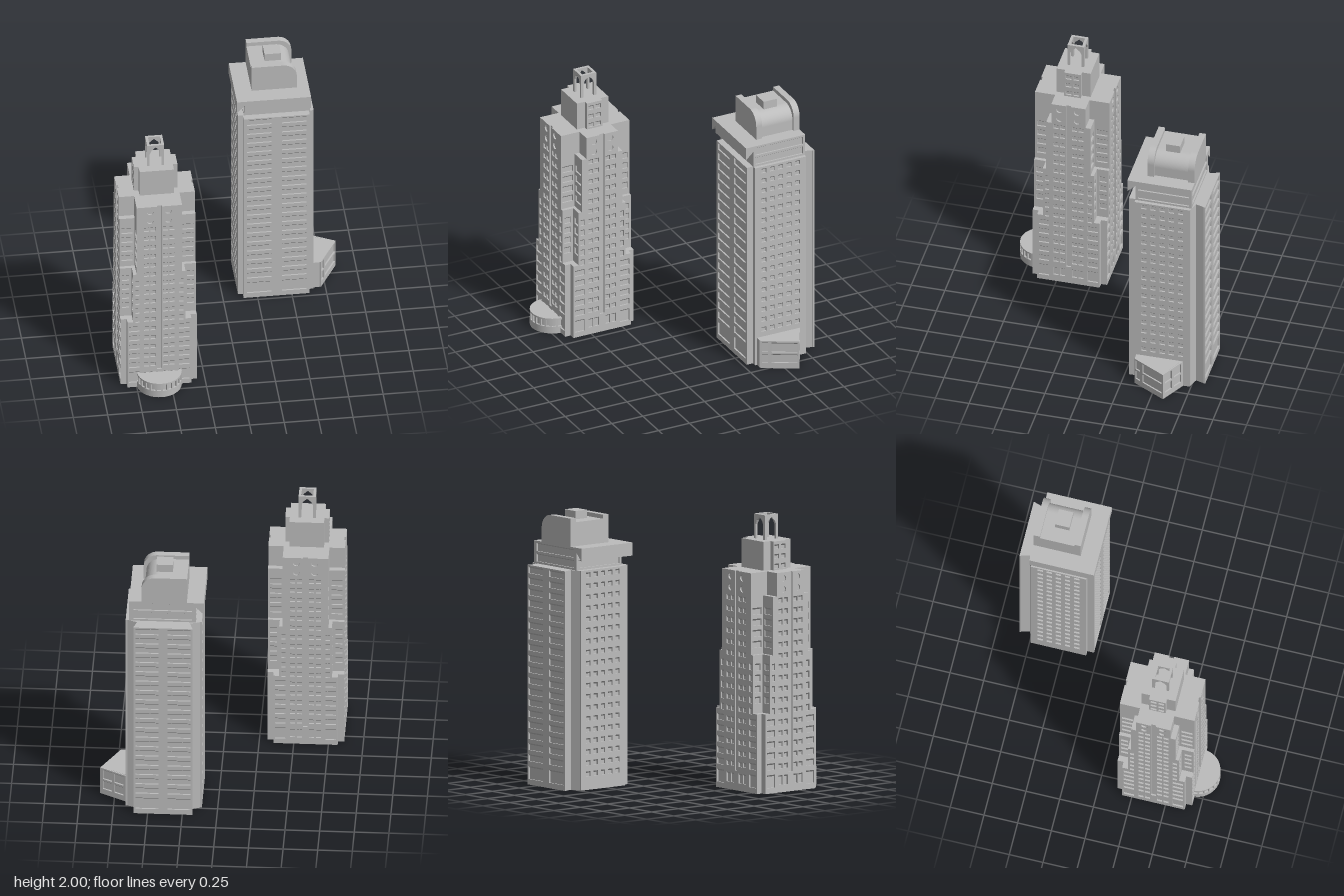
import * as THREE from 'three';
import { mergeGeometries } from 'three/addons/utils/BufferGeometryUtils.js';

const grey = new THREE.MeshStandardMaterial({ color: 0xbcbcbc });
grey.name = 'concrete grey';
const D = 0.012;     // window recess depth
const STEP = 0.0805; // storey height

function add(parent, name, geo, x = 0, y = 0, z = 0) {
  const m = new THREE.Mesh(geo, grey);
  m.name = name;
  m.position.set(x, y, z);
  parent.add(m);
  return m;
}

// Box given by its limits
function block(parent, name, x0, x1, y0, y1, z0, z1) {
  return add(parent, name, new THREE.BoxGeometry(x1 - x0, y1 - y0, z1 - z0),
    (x0 + x1) / 2, (y0 + y1) / 2, (z0 + z1) / 2);
}

const polygon = pts => new THREE.Shape(pts.map(p => new THREE.Vector2(p[0], p[1])));
const rect = (u0, u1, y0, y1) => [[u0, y0], [u1, y0], [u1, y1], [u0, y1]];

// Prism standing on a plan outline of [x, z] points
function prism(parent, name, plan, y0, y1) {
  const g = new THREE.ExtrudeGeometry(polygon(plan.map(([x, z]) => [x, -z])), { depth: y1 - y0, bevelEnabled: false });
  g.rotateX(-Math.PI / 2);
  return add(parent, name, g, 0, y0, 0);
}

// Facade slab with recessed windows [u0, u1, y0, y1] whose heads slope inwards, and round windows [u, y, r]
function wall(parent, name, outline, windows, x, z, angle, head = 0.012) {
  const shape = polygon(outline);
  const heads = [];
  for (const w of windows) {
    if (w.length === 3) {
      shape.holes.push(new THREE.Path().absarc(w[0], w[1], w[2], 0, Math.PI * 2, true));
      continue;
    }
    shape.holes.push(new THREE.Path(rect(...w).map(p => new THREE.Vector2(...p))));
    const g = new THREE.PlaneGeometry(w[1] - w[0], Math.hypot(head, D));
    g.rotateX(Math.atan2(D, head));
    g.translate((w[0] + w[1]) / 2, w[3] - head / 2, D / 2);
    heads.push(g.toNonIndexed());
  }
  const slab = new THREE.ExtrudeGeometry(shape, { depth: D, bevelEnabled: false, curveSegments: 6 });
  const m = add(parent, name, mergeGeometries([slab, ...heads]),
    x - Math.sin(angle) * D, 0, z - Math.cos(angle) * D);
  m.rotation.y = angle;
}

// Setback tower with notched corners
function setbackTower() {
  const t = new THREE.Group();
  t.name = 'setbackTower';
  const H = 0.277;
  const row = i => 1.4 - i * STEP;
  const tiers = [[0, 0.58, 0.232, 0.232], [0.58, 1.005, 0.19, 0.19], [1.005, 1.43, 0.165, 0.165], [1.43, 1.6, 0.165, 0.127]];
  tiers.forEach(([y0, y1, a, b], i) => {
    const inset = i === 1 || i === 2 ? D : 0;
    block(t, 'tierArm', -a + inset, a - inset, y0, y1, -H + D, H - D);
    block(t, 'tierArm', -H + D, H - D, y0, y1, -b + inset, b - inset);
  });

  // Main facade windows
  const wins = [];
  for (const s of [-1, 1]) {
    const put = (a, b, y0, y1) => wins.push([Math.min(s * a, s * b), Math.max(s * a, s * b), y0, y1]);
    for (const [a, b] of [[0.026, 0.063], [0.074, 0.111]]) {
      for (let i = 0; i < 16; i++) put(a, b, row(i) - 0.018, row(i) + 0.018);
      put(a, b, 0.055, 0.125);
    }
    for (let i = 6; i < 11; i++) put(0.143, 0.175, row(i) - 0.022, row(i) + 0.026);
    for (let i = 11; i < 16; i++) put(0.143, 0.22, row(i) - 0.022, row(i) + 0.026);
    put(0.143, 0.22, 0.04, 0.135);
    wins.push([s * 0.066, 1.475, 0.025], [s * 0.066, 1.555, 0.025]);
  }

  for (let k = 0; k < 4; k++) {
    const ang = k * Math.PI / 2, top = k % 2 ? 0.127 : 0.165;
    const half = [[0.232, 0], [0.232, 0.58], [0.19, 0.58], [0.19, 1.005], [0.165, 1.005], [0.165, 1.43]];
    if (k % 2) half.push([top, 1.43]);
    half.push([top, 1.6], [0.018, 1.6], [0.018, 0.145]);
    const outline = [...half, ...half.map(([u, y]) => [-u, y]).reverse()];
    wall(t, 'towerFacade', outline, wins, Math.sin(ang) * H, Math.cos(ang) * H, ang);

    // Windowed walls in the corner notches
    for (const s of [-1, 1]) {
      for (const [y0, y1, w, in0, first] of [[0.58, 1.005, 0.19, 0.21, 6], [1.005, 1.43, 0.165, 0.18, 1]]) {
        const span = (a, b) => s > 0 ? [a, b] : [-b, -a];
        const list = [0, 1, 2, 3].map(i => [...span(in0, 0.262), row(first + i) - 0.025, row(first + i) + 0.025]);
        wall(t, 'notchWall', rect(...span(w - D, H - D), y0, y1), list, Math.sin(ang) * w, Math.cos(ang) * w, ang);
      }
    }
  }

  // Upper block
  block(t, 'upperBlock', -0.125, 0.125, 1.6, 1.81, -0.127, 0.127);
  block(t, 'upperBlock', -0.158 + D, 0.158 - D, 1.6, 1.81, -0.062, 0.062);
  const upper = [];
  for (const y of [1.63, 1.7, 1.77]) upper.push([-0.05, -0.008, y - 0.017, y + 0.017], [0.008, 0.05, y - 0.017, y + 0.017]);
  for (const s of [-1, 1]) wall(t, 'upperFacade', rect(-0.062, 0.062, 1.6, 1.81), upper, s * 0.158, 0, s * Math.PI / 2);

  // Open crown with pointed arches
  for (let k = 0; k < 4; k++) {
    const arch = polygon([[-0.062, 1.81], [-0.043, 1.81], [-0.043, 1.915], [-0.03, 1.945], [0, 1.972], [0.03, 1.945],
      [0.043, 1.915], [0.043, 1.81], [0.062, 1.81], [0.062, 1.99], [-0.062, 1.99]]);
    const g = new THREE.ExtrudeGeometry(arch, { depth: 0.019, bevelEnabled: false });
    g.translate(0, 0, 0.043);
    add(t, 'crownArch', g).rotation.y = k * Math.PI / 2;
  }

  // Round entrance
  const cz = 0.262;
  const drum = (name, r, y0, y1) => add(t, name, new THREE.CylinderGeometry(r, r, y1 - y0, 40), 0, (y0 + y1) / 2, cz);
  drum('entranceBase', 0.163, 0, 0.055);
  drum('entranceCore', 0.149, 0.055, 0.108);
  drum('entranceRoof', 0.163, 0.108, 0.12);
  for (let i = 0; i <= 12; i++) {
    const a = (i / 12 - 0.5) * Math.PI;
    const p = add(t, 'entrancePost', new THREE.BoxGeometry(0.012, 0.055, 0.014),
      Math.sin(a) * 0.155, 0.081, cz + Math.cos(a) * 0.155);
    p.rotation.y = a;
  }
  t.position.set(-0.585, 0, 0.411);
  return t;
}

// Slab tower with flared back, eaves and penthouse
function slabTower() {
  const t = new THREE.Group();
  t.name = 'slabTower';
  const cx = 0.389;
  const right = [[0.24, -0.292], [0.24, -0.33], [0.263, -0.33], [0.263, -0.742], [0.192, -0.767], [0.21, -0.828]];
  prism(t, 'slabBody', [...right, ...right.map(([x, z]) => [-x, z]).reverse()].map(([x, z]) => [cx + x, z]), 0, 1.6);

  // Wide windows front and back
  const wide = [], small = [];
  for (const s of [-1, 1]) {
    const [a, b] = s < 0 ? [-0.217, -0.037] : [0.037, 0.217];
    for (let i = 0; i < 18; i++) wide.push([a, b, 1.54 - i * STEP, 1.59 - i * STEP]);
    wide.push([a, b, 0.04, 0.135]);
  }
  wall(t, 'frontFacade', rect(-0.24, 0.24, 0, 1.6), wide, cx, -0.28, 0);
  const narrow = wide.map(([a, b, c, d]) => [a * 0.91, b * 0.91, c, d]);
  wall(t, 'backFacade', rect(-0.213, 0.213, 0, 1.6), narrow, cx, -0.84, Math.PI);

  // Small windows on the sides
  for (let c = -2; c <= 2; c++)
    for (let i = 0; i < 19; i++)
      small.push([c * 0.068 - 0.02, c * 0.068 + 0.02, 1.548 - i * STEP, 1.584 - i * STEP]);
  for (const s of [-1, 1])
    wall(t, 'sideFacade', rect(-0.206, 0.206, 0, 1.6), small, cx + s * 0.275, -0.536, s * Math.PI / 2);

  // Neck with long bands
  block(t, 'neckCore', 0.156 + D, 0.638 - D, 1.6, 1.765, -0.748 + D, -0.33);
  for (const [x, z, h, a] of [[0.638, -0.539, 0.209, 1], [0.156, -0.539, 0.209, -1], [0.397, -0.748, 0.229, 2]])
    wall(t, 'neckBand', rect(-h, h, 1.6, 1.765),
      [[-h + 0.018, h - 0.018, 1.615, 1.672], [-h + 0.018, h - 0.018, 1.69, 1.75]], x, z, a * Math.PI / 2, 0.008);

  // Sloped eaves
  const frontEave = new THREE.ExtrudeGeometry(polygon([[0.27, 1.765], [0.27, 1.73], [0.335, 1.668], [0.335, 1.765]]),
    { depth: 0.482, bevelEnabled: false });
  frontEave.rotateY(Math.PI / 2);
  frontEave.translate(0.156, 0, 0);
  // Mirror the profile depth so the lip faces the front
  const p = frontEave.attributes.position;
  for (let i = 0; i < p.count; i++) p.setZ(i, -0.605 - p.getZ(i));
  frontEave.translate(0, 0, 0);
  for (let i = 0; i < p.count; i++) p.setZ(i, -0.27 - Math.abs(p.getZ(i) + 0.27));
  for (let i = 0; i < p.count; i += 3) {
    const b = [p.getX(i), p.getY(i), p.getZ(i)];
    p.setXYZ(i, p.getX(i + 1), p.getY(i + 1), p.getZ(i + 1));
    p.setXYZ(i + 1, ...b);
  }
  frontEave.computeVertexNormals();
  add(t, 'frontEave', frontEave);
  const sideEave = new THREE.ExtrudeGeometry(polygon([[0.1, 1.765], [0.1, 1.67], [0.158, 1.73], [0.158, 1.765]]),
    { depth: 0.478, bevelEnabled: false });
  add(t, 'sideEave', sideEave, 0, 0, -0.748);

  // Penthouse with one rounded shoulder
  const penthouse = (name, x1, y1, z0, z1) => {
    const r = 0.1;
    const s = new THREE.Shape().moveTo(0.222, 1.76).lineTo(x1, 1.76).lineTo(x1, y1 - r)
      .absarc(x1 - r, y1 - r, r, 0, Math.PI / 2, false).lineTo(0.222, y1);
    add(t, name, new THREE.ExtrudeGeometry(s, { depth: z1 - z0, bevelEnabled: false, curveSegments: 12 }), 0, 0, z0);
  };
  penthouse('penthouseEnd', 0.55, 1.97, -0.748, -0.7);
  penthouse('penthouseMiddle', 0.53, 1.94, -0.7, -0.445);
  penthouse('penthouseEnd', 0.55, 1.97, -0.445, -0.397);
  block(t, 'roofBox', 0.33, 0.45, 1.93, 2, -0.615, -0.508);

  // Pointed side annex
  const A = [0.718, -0.344], B = [0.856, -0.59], C = [0.664, -0.692];
  prism(t, 'annexBody', [[0.64, -0.344], [0.706, -0.344], [0.84, -0.586], [0.66, -0.678], [0.64, -0.678]], 0, 0.22);
  for (const [p0, p1, cols] of [[A, B, [[0.04, 0.2], [0.28, 0.95]]], [B, C, [[0.1, 0.45], [0.55, 0.9]]]]) {
    const dx = p1[0] - p0[0], dz = p1[1] - p0[1], L = Math.hypot(dx, dz);
    const wins = cols.flatMap(([a, b]) => [[0.045, 0.115], [0.13, 0.208]].map(([y0, y1]) => [(a - 0.5) * L, (b - 0.5) * L, y0, y1]));
    wall(t, 'annexFacade', rect(-L / 2, L / 2, 0, 0.22), wins, (p0[0] + p1[0]) / 2, (p0[1] + p1[1]) / 2, Math.atan2(-dz, dx));
  }
  return t;
}

export function createModel() {
  const model = new THREE.Group();
  model.name = 'twoTowers';
  model.add(setbackTower(), slabTower());
  return model;
}
